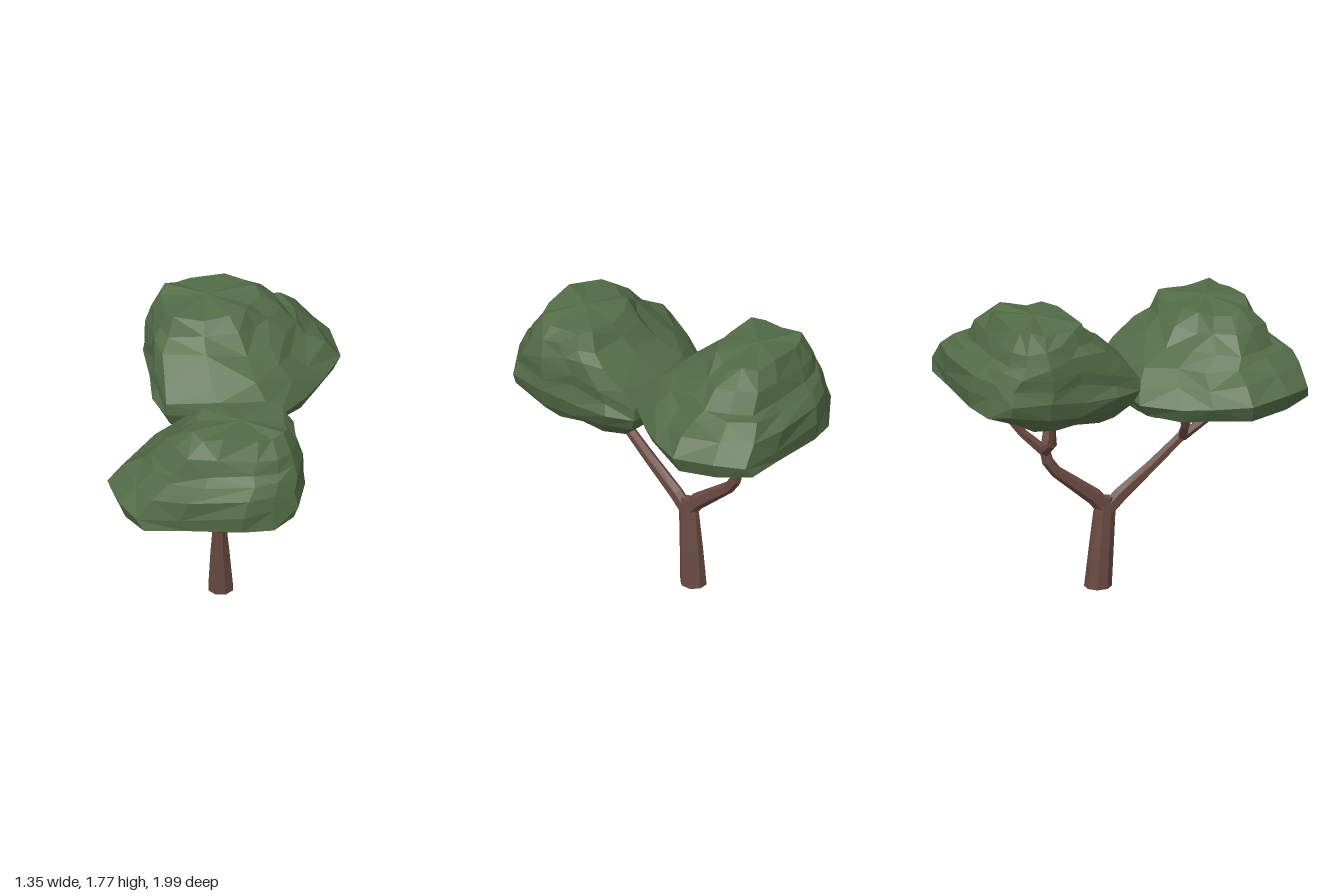
import * as THREE from 'three';

const bark = new THREE.MeshStandardMaterial({ color: 0x694a42, flatShading: true });
bark.name = 'bark brown';
const leaf = new THREE.MeshStandardMaterial({ color: 0x536c47, flatShading: true });
leaf.name = 'leaf green';

const V = (x, y, z) => new THREE.Vector3(x, y, z);

// Closed solid through a stack of rings with equal point counts
function loft(rings, bottomBulge = 0, topBulge = 0) {
  const n = rings[0].length, pos = [], idx = [];
  rings.forEach(r => r.forEach(p => pos.push(p.x, p.y, p.z)));
  for (let i = 0; i < rings.length - 1; i++) {
    for (let j = 0; j < n; j++) {
      const a = i * n + j, b = i * n + (j + 1) % n, c = a + n, d = b + n;
      if ((i * 5 + j * 3) % 4 < 2) idx.push(a, c, b, b, c, d);
      else idx.push(a, c, d, a, d, b);
    }
  }
  const last = rings.length - 1;
  [[0, -bottomBulge], [last, topBulge]].forEach(([ring, dy]) => {
    const c = V(0, dy, 0);
    rings[ring].forEach(p => c.addScaledVector(p, 1 / n));
    const ci = pos.length / 3;
    pos.push(c.x, c.y, c.z);
    for (let j = 0; j < n; j++) {
      const p = ring * n + j, q = ring * n + (j + 1) % n;
      if (ring === last) idx.push(ci, q, p); else idx.push(ci, p, q);
    }
  });
  const g = new THREE.BufferGeometry();
  g.setAttribute('position', new THREE.Float32BufferAttribute(pos, 3));
  g.setIndex(idx);
  const flat = g.toNonIndexed();
  flat.computeVertexNormals();
  return flat;
}

// Tapered limb: points are [x, y, z, radius, optional flattening in x]
function limb(name, pts, sides = 6) {
  const c = pts.map(p => V(p[0], p[1], p[2]));
  const rings = pts.map(([, y, , r, flat = 1], i) => {
    const dir = c[Math.min(i + 1, c.length - 1)].clone().sub(c[Math.max(i - 1, 0)]).normalize();
    if (y === 0) dir.set(0, 1, 0);
    const q = new THREE.Quaternion().setFromUnitVectors(V(0, 1, 0), dir);
    return Array.from({ length: sides }, (_, j) => {
      const a = (j + 0.5) / sides * Math.PI * 2;
      return V(Math.cos(a) * r * flat, 0, Math.sin(a) * r).applyQuaternion(q).add(c[i]);
    });
  });
  const m = new THREE.Mesh(loft(rings), bark);
  m.name = name;
  return m;
}

// Lumpy canopy: one plan outline fitted into a tilted box at each height
function canopyGeometry() {
  const outline = [[0.67, -0.57], [0.57, -0.36], [0.47, -0.2], [0.31, 0], [0, 0.03], [-0.33, 0],
    [-0.41, -0.17], [-0.43, -0.4], [-0.48, -0.6], [-0.43, -0.83], [-0.3, -0.92], [-0.12, -0.99],
    [0.24, -1], [0.49, -0.98], [0.6, -0.8]];
  // y, min x, max x, min z, max z, rise towards -z, rise towards +x
  const levels = [
    [1.15, -0.22, 0.34, -0.62, -0.2, 0.04, 0.06], [1.17, -0.37, 0.46, -0.79, -0.12, 0.06, 0.08],
    [1.24, -0.45, 0.63, -1.0, -0.01, 0.06, 0.0], [1.335, -0.48, 0.68, -1.0, 0.03, 0.06, 0.0],
    [1.42, -0.46, 0.58, -0.985, 0.01, 0.08, 0.0], [1.5, -0.47, 0.47, -0.92, -0.05, 0.08, 0.0],
    [1.57, -0.46, 0.42, -0.86, -0.2, -0.03, -0.02], [1.66, -0.43, 0.32, -0.83, -0.29, 0.0, 0.0],
    [1.75, -0.38, 0.22, -0.77, -0.35, 0.02, 0.0]];
  let seed = 11;
  const rnd = s => {
    seed = (seed * 16807) % 2147483647;
    return (seed / 2147483647 - 0.5) * 2 * s;
  };
  const rings = levels.map(([y, x0, x1, z0, z1, back, side], i) => outline.map(([ox, oz]) => {
    const u = (ox + 0.48) / 1.15, v = (oz + 1) / 1.03;
    const rise = side * (u - 0.5) * (x1 - x0) - back * (v - 0.5) * (z1 - z0);
    return V(x0 + u * (x1 - x0) + rnd(0.012),
      y + rise + rnd(i < 2 ? 0.008 : 0.02),
      Math.max(-1, z0 + v * (z1 - z0) + rnd(0.014)));
  }));
  return loft(rings, -0.015, 0.025);
}

export function createModel() {
  const tree = new THREE.Group();
  tree.name = 'tree';

  // Trunk and the two main boughs
  tree.add(limb('trunk', [[-0.02, 0, -0.145, 0.081, 0.95], [-0.024, 0.25, -0.125, 0.074, 0.8],
    [-0.026, 0.46, -0.107, 0.068, 0.6], [-0.027, 0.55, -0.1, 0.05, 0.7]], 8));
  tree.add(limb('frontBough', [[-0.027, 0.46, -0.1, 0.048, 0.8], [-0.028, 0.55, -0.01, 0.048, 0.8],
    [-0.03, 0.71, 0.19, 0.036], [-0.03, 0.88, 0.39, 0.03]]));
  tree.add(limb('backBough', [[-0.027, 0.46, -0.09, 0.048, 0.8], [-0.028, 0.56, -0.17, 0.05, 0.8],
    [-0.028, 0.75, -0.41, 0.035], [-0.025, 0.82, -0.46, 0.035], [-0.02, 0.93, -0.485, 0.03]]));

  // Branches reaching into the front canopy
  const f = [-0.03, 0.86, 0.375, 0.03], b = [-0.02, 0.88, -0.475, 0.034];
  [
    [f, [0.0, 0.96, 0.57, 0.026], [-0.02, 1.14, 0.64, 0.017]],
    [f, [-0.16, 0.97, 0.34, 0.024], [-0.23, 1.14, 0.28, 0.016]],
    [f, [-0.01, 0.98, 0.42, 0.023], [0.04, 1.13, 0.48, 0.016]],
  ].forEach(p => tree.add(limb('frontBranch', p, 5)));

  // Branches reaching into the back canopy
  [
    [b, [0.12, 0.95, -0.4, 0.036], [0.27, 1.01, -0.33, 0.03], [0.31, 1.2, -0.22, 0.017]],
    [[0.22, 0.99, -0.35, 0.026], [0.27, 1.07, -0.44, 0.023], [0.27, 1.21, -0.52, 0.016]],
    [b, [-0.18, 0.98, -0.49, 0.026], [-0.27, 1.21, -0.53, 0.017]],
    [b, [0.02, 1.0, -0.6, 0.027], [0.06, 1.23, -0.78, 0.018]],
  ].forEach(p => tree.add(limb('backBranch', p, 5)));

  // Two canopies, the front one turned round and set lower
  const geo = canopyGeometry();
  const back = new THREE.Mesh(geo, leaf);
  back.name = 'backCanopy';
  const front = new THREE.Mesh(geo, leaf);
  front.name = 'frontCanopy';
  front.rotation.y = Math.PI;
  front.position.y = -0.1;
  tree.add(back, front);
  return tree;
}
